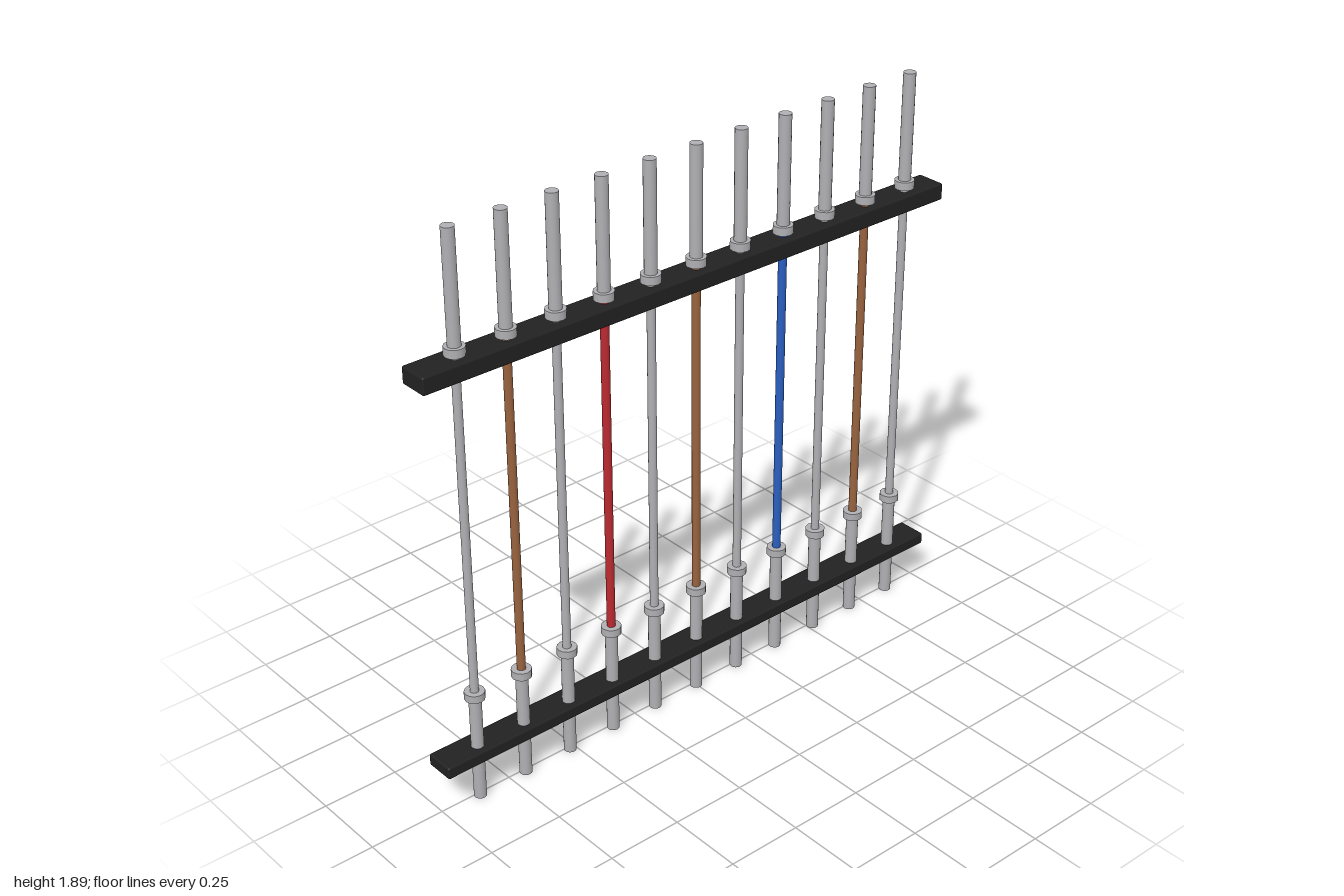
import * as THREE from 'three';
import { RoundedBoxGeometry } from 'three/addons/geometries/RoundedBoxGeometry.js';

export function createModel() {
  const mat = (name, color) => {
    const m = new THREE.MeshStandardMaterial({ color });
    m.name = name;
    return m;
  };
  const steel = mat('steel', 0xb0b0b4);
  const black = mat('black', 0x222222);
  const copper = mat('copper', 0x99633f);
  const red = mat('red', 0xbb2a30);
  const blue = mat('blue', 0x2a5fc0);

  const model = new THREE.Group();
  model.name = 'rodRack';

  // Horizontal rails
  const rail = (name, y0, y1) => {
    const mesh = new THREE.Mesh(new RoundedBoxGeometry(2, y1 - y0, 0.1, 2, 0.006), black);
    mesh.name = name;
    mesh.position.y = (y0 + y1) / 2;
    model.add(mesh);
  };
  rail('lowerRail', 0.147, 0.187);
  rail('upperRail', 1.437, 1.493);

  // Upright cylinder between two heights
  const upright = (group, name, radius, y0, y1, material, sides = 16) => {
    const mesh = new THREE.Mesh(new THREE.CylinderGeometry(radius, radius, y1 - y0, sides), material);
    mesh.name = name;
    mesh.position.y = (y0 + y1) / 2;
    group.add(mesh);
  };

  // Eleven rods, each with end tubes and collars
  const rodColours = [steel, copper, steel, red, steel, copper, steel, blue, steel, copper, steel];
  rodColours.forEach((colour, i) => {
    const unit = new THREE.Group();
    unit.name = 'rodUnit' + (i + 1);
    unit.position.set((i - 5) * 0.173, 0, 0.01);
    upright(unit, 'lowerTube', 0.02, 0, 0.375, steel);
    upright(unit, 'lowerCollar', 0.032, 0.361, 0.387, steel, 12);
    upright(unit, 'rod', 0.0135, 0.37, 1.52, colour);
    upright(unit, 'upperCollar', 0.032, 1.505, 1.532, steel, 12);
    upright(unit, 'upperTube', 0.02, 1.51, 1.887, steel);
    model.add(unit);
  });

  return model;
}
